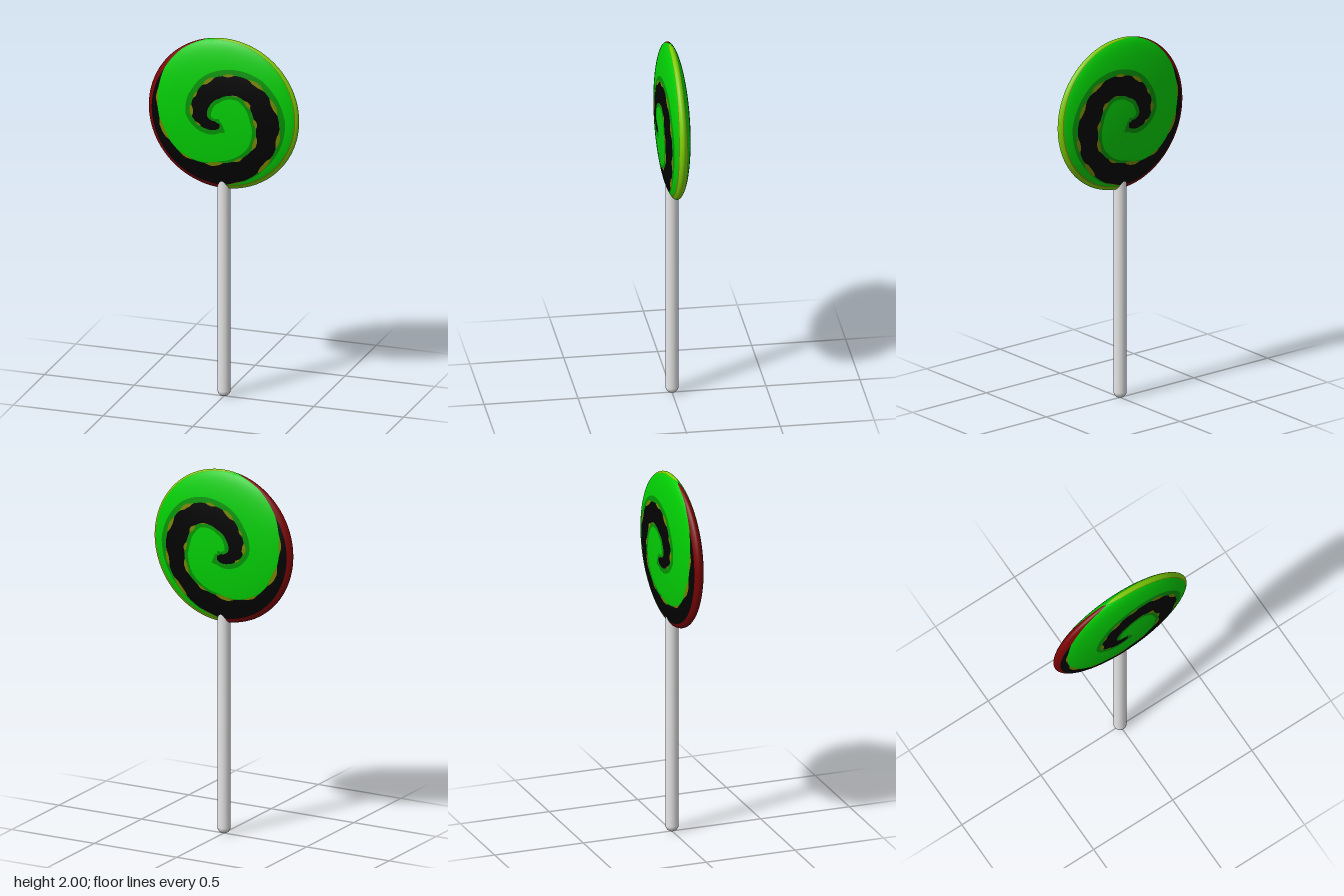
import * as THREE from 'three';

const R = 0.418, DEPTH = 0.076, CENTER_Y = 1.582;
const STEP = 1 / 12;   // angular step, in eighths of a turn
const UNIT = 79;       // profile radii below run from 0 to 79 (the rim)

const material = (name, color) => {
  const m = new THREE.MeshStandardMaterial({ color });
  m.name = name;
  return m;
};

// Piecewise linear lookup through [k, value] pairs
const track = (points) => (k) => {
  if (k <= points[0][0]) return points[0][1];
  for (let i = 1; i < points.length; i++) {
    const [k0, v0] = points[i - 1], [k1, v1] = points[i];
    if (k <= k1) return v0 + (v1 - v0) * (k - k0) / (k1 - k0);
  }
  return points[points.length - 1][1];
};

// Spiral outlines; k counts eighths of a turn clockwise, 0 = -x, 2 = top
const armInner = track([[-2, 6.5], [-1, 6], [0, 13], [1, 15], [2, 20], [3, 32], [4, 36],
  [5, 46], [6, 49], [7, 61], [8, 67], [8.5, 71], [8.75, 74]]);
const armOuter = track([[-2, 11], [-1.5, 15], [-1, 19], [0, 30], [1, 34], [2, 43], [3, 54],
  [4, 61], [5, 66], [6, 74], [7, 74.5], [8, 74.5], [8.75, 74]]);

// Inner limits of the rim colours
const redStart = track([[6, 74], [7, 74.5], [8, 74.5], [8.75, 74], [9.25, 77.3], [9.75, 79]]);
const limeStart = track([[1.75, 79], [2, 78], [3, 77.3], [4, 76.2], [5, 75.8], [6, 75.5]]);
const rimEdge = track([[1.75, 79], [2, 77.7], [3, 76.8], [4, 75.2], [5, 74.5], [6, 74]]);

// Ragged olive flecks and dark green edging along the spiral
const fleck = (k) => Math.min(4, 4 * Math.max(0, Math.sin(9 * k) + 0.5 * Math.sin(4 * k + 1) + 0.15));
const fadeOut = track([[-1, 0], [-0.5, 1], [5.5, 1], [6, 0]]);
const fadeIn = track([[2.5, 0], [3.25, 1], [8, 1], [8.5, 0.4], [8.75, 0]]);
const edgeOut = track([[-2, 5], [-1, 6], [4, 6], [5, 2], [6, 0]]);
const edgeIn = track([[-2, 4.5], [5, 4.5], [6.5, 1], [8, 0]]);
const fleckOut = (k) => fleck(k) * fadeOut(k);
const fleckIn = (k) => fleck(k + 0.3) * fadeIn(k);
const blackOut = (k) => armOuter(k) - 0.6 * fleckOut(k);
const blackIn = (k) => armInner(k) + 0.6 * fleckIn(k);
const oliveOut = (k) => armOuter(k) + 0.4 * fleckOut(k);
const oliveIn = (k) => armInner(k) - 0.4 * fleckIn(k);
const darkOut = (k) => armOuter(k) + Math.max(edgeOut(k), 0.4 * fleckOut(k));
const darkIn = (k) => armInner(k) - Math.max(edgeIn(k), 0.4 * fleckIn(k));

// Strip of the flattened ball between two radius tracks, on both faces
function band(group, name, mat, k0, k1, inner, outer, rows = 5) {
  const cols = Math.round((k1 - k0) / STEP);
  const positions = [], normals = [], index = [];
  for (const side of [1, -1]) {
    const base = positions.length / 3;
    for (let i = 0; i <= cols; i++) {
      const k = k0 + i * STEP, a = k * Math.PI / 4;
      const u0 = Math.asin(Math.min(1, Math.max(0, inner(k) / UNIT)));
      const u1 = Math.asin(Math.min(1, Math.max(0, outer(k) / UNIT)));
      for (let j = 0; j <= rows; j++) {
        const u = u0 + (u1 - u0) * j / rows;
        const x = -Math.cos(a) * Math.sin(u), y = Math.sin(a) * Math.sin(u), z = side * Math.cos(u);
        positions.push(x * R, y * R, z * DEPTH);
        const n = new THREE.Vector3(x / R, y / R, z / DEPTH).normalize();
        normals.push(n.x, n.y, n.z);
        if (i < cols && j < rows) {
          const p = base + i * (rows + 1) + j, q = p + rows + 1;
          if (side > 0) index.push(p, q, p + 1, q, q + 1, p + 1);
          else index.push(p, p + 1, q, q, p + 1, q + 1);
        }
      }
    }
  }
  const geo = new THREE.BufferGeometry();
  geo.setAttribute('position', new THREE.Float32BufferAttribute(positions, 3));
  geo.setAttribute('normal', new THREE.Float32BufferAttribute(normals, 3));
  geo.setIndex(index);
  const mesh = new THREE.Mesh(geo, mat);
  mesh.name = name;
  group.add(mesh);
}

export function createModel() {
  const green = material('candy green', 0x02cd04);
  const darkGreen = material('dark green', 0x049204);
  const olive = material('olive', 0x788600);
  const black = material('black', 0x020202);
  const red = material('dark red', 0x780303);
  const lime = material('lime', 0x7ccc04);
  const white = material('stick white', 0xe4e4e4);

  const model = new THREE.Group();
  model.name = 'lollipop';

  // Candy disc
  const candy = new THREE.Group();
  candy.name = 'candy';
  candy.position.y = CENTER_Y;
  model.add(candy);

  // Green areas: core, space between the turns, outer area
  band(candy, 'greenCore', green, -2, 5.5, () => 0, darkIn, 8);
  band(candy, 'greenCoreCenter', green, 5.5, 6, () => 0, () => 5, 3);
  band(candy, 'spiralTipEdge', darkGreen, 5.5, 6, () => 5, () => 16, 3);
  band(candy, 'greenCoreBelowTip', green, 5.5, 6, () => 16, darkIn, 6);
  band(candy, 'greenBetweenTurns', green, 6, 8.75, (k) => darkOut(k - 8), darkIn, 10);
  band(candy, 'greenOuterTop', green, 0.75, 1.75, darkOut, (k) => redStart(k + 8), 10);
  band(candy, 'greenOuter', green, 1.75, 6, darkOut, rimEdge, 10);

  // Black spiral with its edging
  band(candy, 'spiral', black, -2, 8.75, blackIn, blackOut, 6);
  band(candy, 'spiralInnerFlecks', olive, -2, 8.75, oliveIn, blackIn, 2);
  band(candy, 'spiralOuterFlecks', olive, -2, 6, blackOut, oliveOut, 2);
  band(candy, 'spiralInnerEdge', darkGreen, -2, 8.75, darkIn, oliveIn, 2);
  band(candy, 'spiralOuterEdge', darkGreen, -2, 6, oliveOut, darkOut, 2);

  // Rim: red on one side, lime with an olive border on the other
  band(candy, 'redRim', red, 6, 9.75, redStart, () => UNIT, 6);
  band(candy, 'limeRimBorder', olive, 1.75, 6, rimEdge, limeStart, 2);
  band(candy, 'limeRim', lime, 1.75, 6, limeStart, () => UNIT, 6);

  // Stick with rounded ends, its top set into the candy
  const stick = new THREE.Mesh(new THREE.CapsuleGeometry(0.035, 1.2, 8, 24), white);
  stick.name = 'stick';
  stick.position.y = 0.635;
  model.add(stick);

  return model;
}
